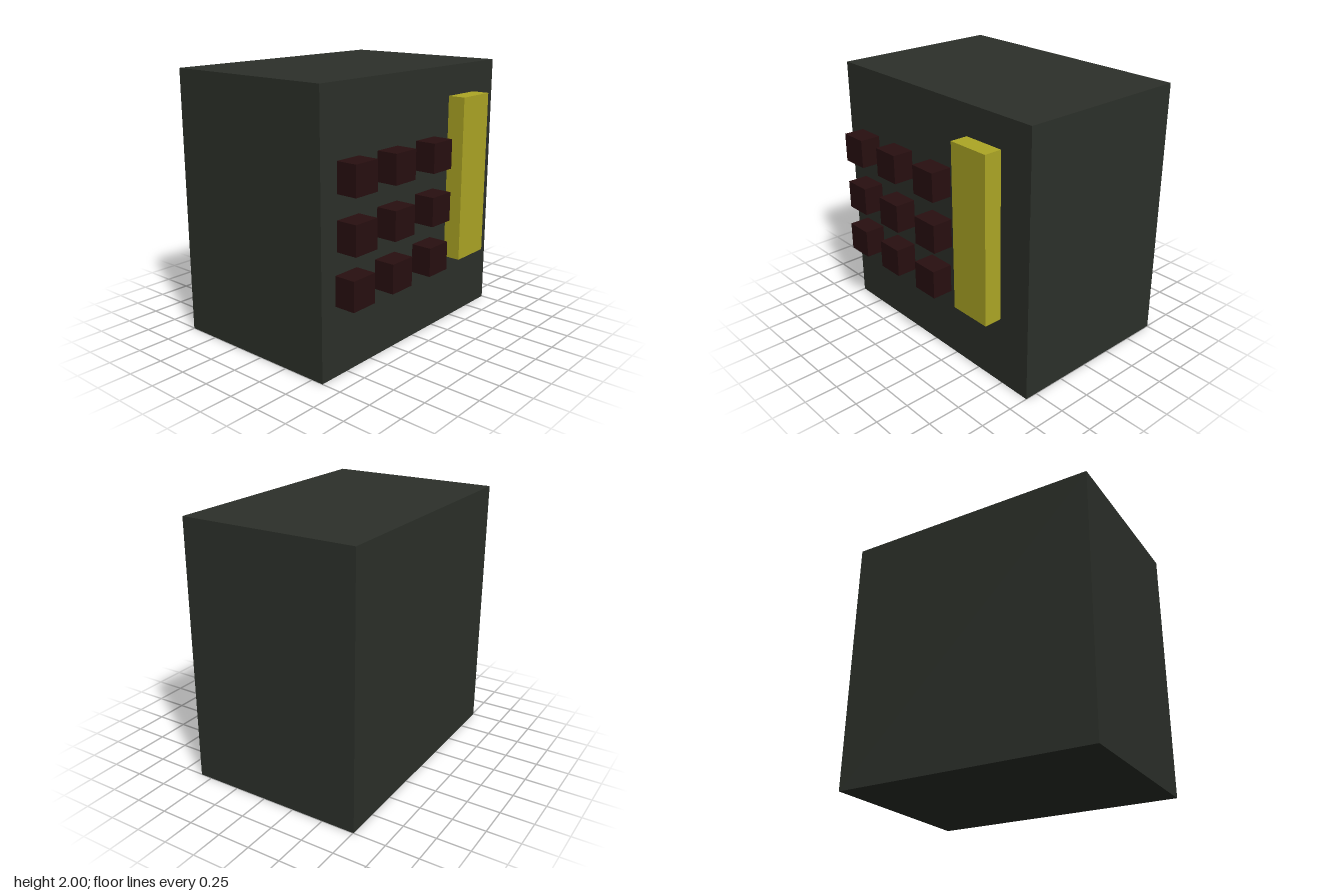
import * as THREE from 'three';

export function createModel() {
  const model = new THREE.Group();
  model.name = 'safe';

  const bodyMaterial = new THREE.MeshStandardMaterial({ color: 0x2c302a });
  const keyMaterial = new THREE.MeshStandardMaterial({ color: 0x280f10 });
  const handleMaterial = new THREE.MeshStandardMaterial({ color: 0xaea725 });

  function addBox(name, material, size, position) {
    const mesh = new THREE.Mesh(new THREE.BoxGeometry(...size), material);
    mesh.name = name;
    mesh.position.set(...position);
    model.add(mesh);
  }

  // Solid cabinet
  const front = 0.595, back = -0.755;
  addBox('body', bodyMaterial, [2, 2, front - back], [0, 1, (front + back) / 2]);

  // Tall handle on the front
  const handleDepth = 0.135;
  addBox('handle', handleMaterial, [0.33, 1.25, handleDepth], [0.565, 1.15, front + handleDepth / 2]);

  // Keypad of three rows; the lowest row sits slightly to one side
  const keySize = 0.217, keyDepth = 0.16;
  const rows = [{ y: 1.39, shift: 0 }, { y: 0.997, shift: 0 }, { y: 0.622, shift: -0.02 }];
  const columns = [-0.737, -0.325, 0.11];
  rows.forEach(({ y, shift }, r) => {
    columns.forEach((x, c) => {
      addBox(`key${r * 3 + c + 1}`, keyMaterial, [keySize, keySize, keyDepth],
        [x + shift, y, front + keyDepth / 2]);
    });
  });

  return model;
}
